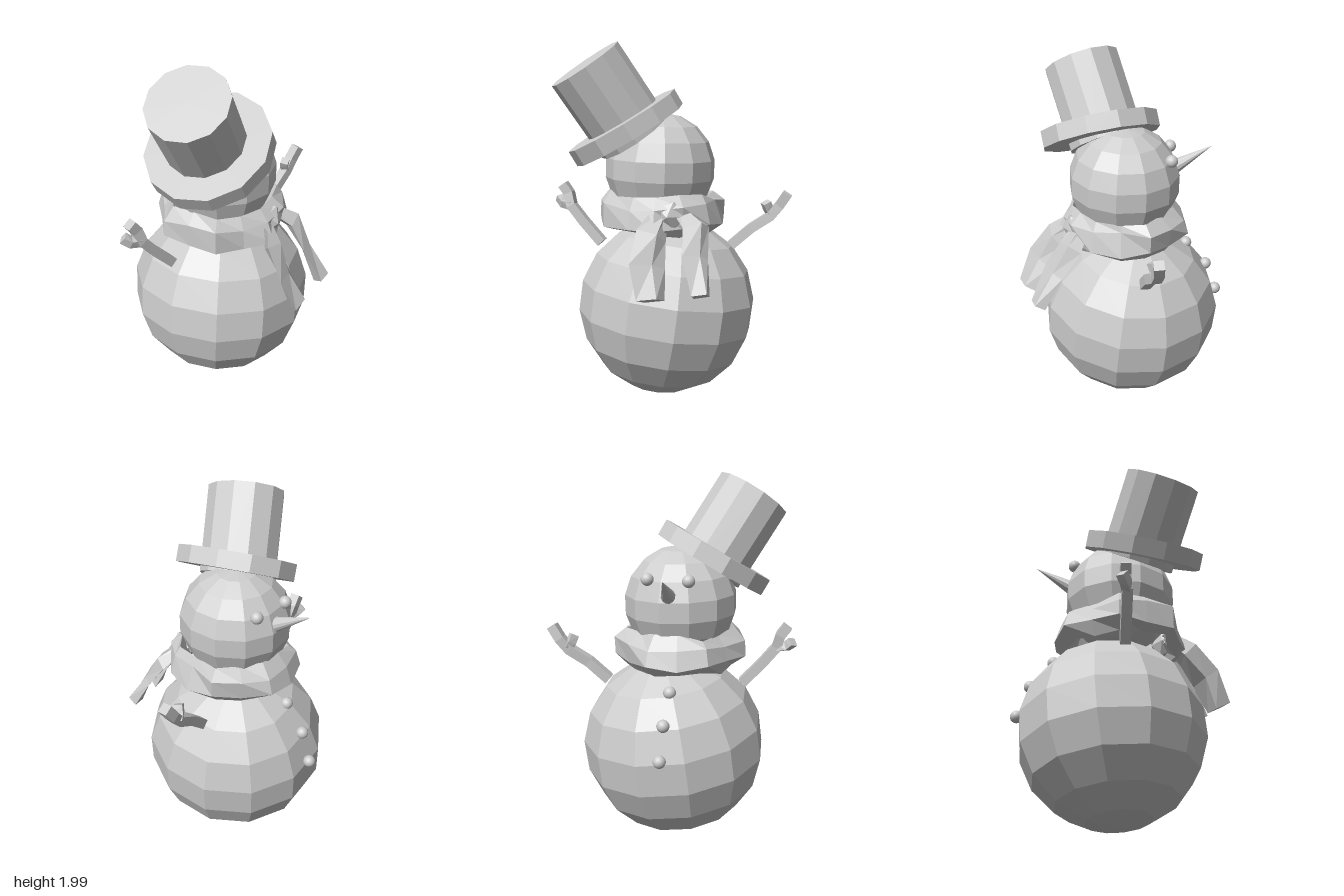
import * as THREE from 'three';

const V = (x, y, z) => new THREE.Vector3(x, y, z);
const flat = new THREE.MeshStandardMaterial({ color: 0xcccccc, flatShading: true });
const smooth = new THREE.MeshStandardMaterial({ color: 0xcccccc });
const UP = V(0, 1, 0);

// Small seeded generator for the crumpled cloth, -1 to 1
function seeded(seed) {
  return () => {
    seed = (seed * 16807) % 2147483647;
    return (seed / 2147483647) * 2 - 1;
  };
}

// Skins loops of points; each loop runs counter-clockwise about the path
function loft(loops, closed = false) {
  const pos = [];
  const tri = (...pts) => pts.forEach((p) => pos.push(p.x, p.y, p.z));
  const n = loops[0].length;
  const last = closed ? loops.length : loops.length - 1;
  for (let i = 0; i < last; i++) {
    const A = loops[i], B = loops[(i + 1) % loops.length];
    for (let j = 0; j < n; j++) {
      const k = (j + 1) % n;
      tri(A[j], A[k], B[k]);
      tri(A[j], B[k], B[j]);
    }
  }
  if (!closed) {
    const A = loops[0], B = loops[loops.length - 1];
    for (let j = 1; j < n - 1; j++) {
      tri(A[0], A[j + 1], A[j]);
      tri(B[0], B[j], B[j + 1]);
    }
  }
  const geo = new THREE.BufferGeometry();
  geo.setAttribute('position', new THREE.Float32BufferAttribute(pos, 3));
  geo.computeVertexNormals();
  return geo;
}

// Four-sided bar along a path; section(i) gives the corners as [across, through]
function bar(path, across, section) {
  return loft(path.map((p, i) => {
    const t = path[Math.min(i + 1, path.length - 1)].clone()
      .sub(path[Math.max(i - 1, 0)]).normalize();
    const a = across.clone().addScaledVector(t, -across.dot(t)).normalize();
    const b = t.clone().cross(a);
    return section(i).map(([u, v]) => p.clone().addScaledVector(a, u).addScaledVector(b, v));
  }));
}

export function createModel() {
  const model = new THREE.Group();
  model.name = 'snowman';
  const add = (name, geo, mat = flat, parent = model) => {
    const mesh = new THREE.Mesh(geo, mat);
    mesh.name = name;
    parent.add(mesh);
    return mesh;
  };

  // Faceted snowballs, leaning slightly back
  const snowball = (name, r, centre, tilt) => {
    const ball = add(name, new THREE.SphereGeometry(r, 12, 9).rotateY(Math.PI / 12));
    ball.position.copy(centre);
    ball.rotation.x = tilt;
  };
  snowball('body', 0.51, V(-0.08, 0.51, 0), -0.14);
  snowball('head', 0.31, V(-0.065, 1.31, 0.045), -0.03);

  // Coal eyes and buttons
  const coal = (name, ...p) => {
    add(name, new THREE.SphereGeometry(0.034, 16, 12), smooth).position.set(...p);
  };
  coal('leftEye', -0.195, 1.47, -0.2);
  coal('rightEye', -0.33, 1.47, -0.025);
  coal('topButton', -0.37, 0.9, -0.145);
  coal('middleButton', -0.465, 0.76, -0.22);
  coal('bottomButton', -0.515, 0.59, -0.26);

  // Turned solids running from one point to another
  const between = (name, from, to, r0, r1, sides) => {
    const axis = to.clone().sub(from);
    const geo = new THREE.CylinderGeometry(r1, r0, axis.length(), sides)
      .rotateY(Math.PI / sides);
    const mesh = add(name, geo);
    mesh.position.copy(from).lerp(to, 0.5);
    mesh.quaternion.setFromUnitVectors(UP, axis.normalize());
  };
  between('carrotNose', V(-0.28, 1.385, -0.115), V(-0.46, 1.5, -0.22), 0.042, 0.001, 12);

  // Top hat tipped over the back of the head
  between('hatCrown', V(-0.06, 1.49, 0.2), V(-0.08, 1.88, 0.465), 0.212, 0.212, 12);
  const lean = V(-0.12, 0.86, 0.49).normalize().multiplyScalar(0.046);
  const brim = V(-0.05, 1.54, 0.25);
  between('hatBrim', brim.clone().sub(lean), brim.clone().add(lean), 0.335, 0.335, 12);

  // Crumpled scarf ring
  const rnd = seeded(41);
  const profile = [[0.36, -0.05], [0.34, 0.05], [0.28, 0.1], [0.24, 0], [0.29, -0.1]];
  const ring = [];
  for (let i = 0; i < 14; i++) {
    const th = (i / 14) * Math.PI * 2;
    const bulge = i % 2 ? 0.015 : -0.01;
    ring.push(profile.map(([r, y]) => {
      const rr = r + bulge + rnd() * 0.022;
      return V(-0.055 + Math.cos(th) * rr, 1.075 + y + rnd() * 0.022, 0.045 + Math.sin(th) * rr);
    }));
  }
  add('scarfRing', loft(ring, true));

  // Knot and two hanging scarf tails
  const knot = add('scarfKnot', new THREE.IcosahedronGeometry(0.09, 0));
  knot.position.set(0.23, 1.09, 0.09);
  knot.scale.set(0.8, 1, 1);
  const tail = (name, path, widths) => {
    add(name, bar(path, V(0, 0, 1), (i) => {
      const w = widths[i], k = i % 2 ? 0.045 : 0.02;
      return [[w, -0.01], [0.02, k], [-w, 0.015], [-0.02, -k * 0.8]];
    }));
  };
  tail('frontScarfTail',
    [V(0.2, 1.13, 0.12), V(0.29, 1, 0.22), V(0.37, 0.86, 0.27), V(0.45, 0.7, 0.28)],
    [0.04, 0.085, 0.1, 0.08]);
  tail('backScarfTail',
    [V(0.2, 1.14, 0.06), V(0.34, 1.04, -0.01), V(0.43, 0.9, 0.03), V(0.53, 0.72, 0.04)],
    [0.04, 0.08, 0.075, 0.055]);

  // Bent stick arms, each with a stubby thumb
  const square = (s) => () => [[s, -s], [s, s], [-s, s], [-s, -s]];
  const arm = (name, path, thumb) => {
    const group = new THREE.Group();
    group.name = name;
    model.add(group);
    add('stick', bar(path, V(1, 0, 0.6), square(0.027)), flat, group);
    add('thumb', bar(thumb, V(0, 0, 1), square(0.023)), flat, group);
  };
  arm('rightArm',
    [V(-0.25, 0.87, 0.34), V(-0.31, 0.99, 0.43), V(-0.35, 1.08, 0.49), V(-0.37, 1.15, 0.5), V(-0.39, 1.2, 0.53)],
    [V(-0.35, 1.08, 0.49), V(-0.39, 1.09, 0.53), V(-0.425, 1.12, 0.545)]);
  arm('leftArm',
    [V(0.08, 0.87, -0.33), V(0.13, 0.97, -0.43), V(0.17, 1.04, -0.53), V(0.19, 1.1, -0.575), V(0.22, 1.17, -0.61)],
    [V(0.17, 1.05, -0.54), V(0.165, 1.08, -0.52), V(0.17, 1.12, -0.5)]);

  return model;
}
